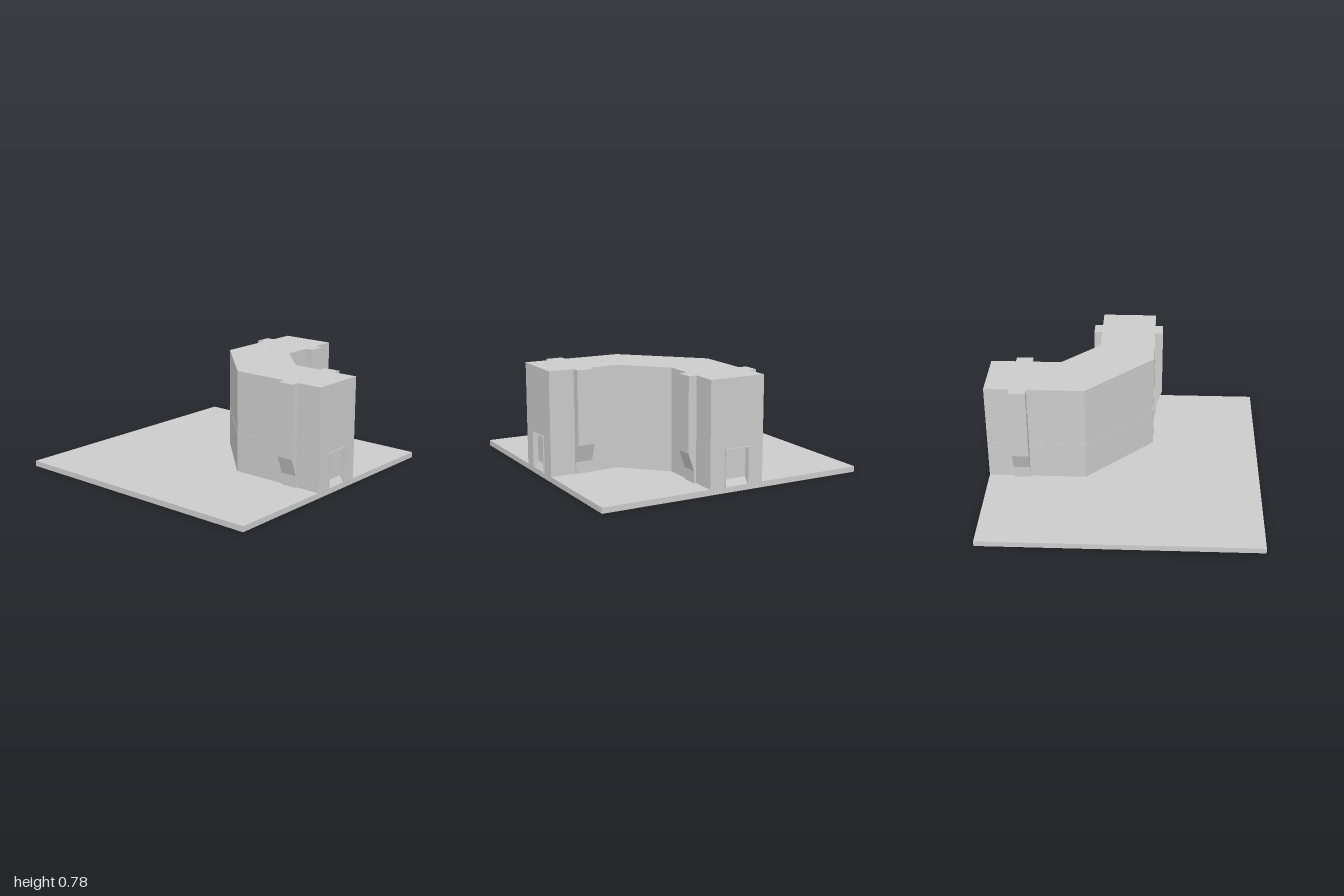
import * as THREE from 'three';

const BASE = 0.04, TOP = 0.775, HALF = 0.205, END = 0.99, RECESS = 0.03;
const material = new THREE.MeshStandardMaterial({ color: 0xcccccc, flatShading: true });

function add(parent, name, geometry, x = 0, y = 0, z = 0) {
  const mesh = new THREE.Mesh(geometry, material);
  mesh.name = name;
  mesh.position.set(x, y, z);
  parent.add(mesh);
  return mesh;
}

const shapeOf = (points) => new THREE.Shape(points.map(([x, y]) => new THREE.Vector2(x, y)));
const extrude = (points, depth) =>
  new THREE.ExtrudeGeometry(shapeOf(points), { depth, bevelEnabled: false });

// Extrudes an [out, y] profile, turned so that "out" is +x and it is centred along z
const sideProfile = (points, width) => extrude(points, width).translate(0, 0, -width / 2);

// Thin horizontal seam on a wall between two [x, z] points
function seam(parent, [x1, z1], [x2, z2]) {
  const length = Math.hypot(x2 - x1, z2 - z1);
  const mesh = add(parent, 'wallSeam', new THREE.BoxGeometry(length, 0.006, 0.004),
    (x1 + x2) / 2, 0.325, (z1 + z2) / 2);
  mesh.rotation.y = -Math.atan2(z2 - z1, x2 - x1);
}

// Buttress with a tapered foot; dots is a list of [z side, count]
function createButtress(dots) {
  const buttress = new THREE.Group();
  buttress.name = 'buttress';
  const profile = [[-0.01, BASE], [0.015, BASE], [0.015, 0.125], [0.06, 0.25], [0.06, TOP], [-0.01, TOP]];
  add(buttress, 'buttressBody', sideProfile(profile, 0.122));
  for (const [side, count] of dots) {
    for (let i = 0; i < count; i++) {
      const dot = add(buttress, 'buttressStud', new THREE.CylinderGeometry(0.009, 0.009, 0.004, 12),
        0.022, 0.66 - i * 0.028, side * 0.061);
      dot.rotation.x = Math.PI / 2;
    }
  }
  return buttress;
}

// End of one wing, running along +z
function createWing(name, leftDots, rightDots) {
  const wing = new THREE.Group();
  wing.name = name;
  const d = 0.0925, doorTop = 0.3;

  // End wall with a doorway
  add(wing, 'endWall', extrude([[-HALF, BASE], [-d, BASE], [-d, doorTop], [d, doorTop],
    [d, BASE], [HALF, BASE], [HALF, TOP], [-HALF, TOP]], RECESS), 0, 0, END - RECESS);

  // Thin door surround
  const w = 0.005;
  add(wing, 'doorFrame', extrude([[-d, BASE], [-d + w, BASE], [-d + w, doorTop - w],
    [d - w, doorTop - w], [d - w, BASE], [d, BASE], [d, doorTop], [-d, doorTop]], RECESS + 0.008),
  0, 0, END - RECESS);

  // Sloping door sill
  const sill = add(wing, 'doorSill',
    sideProfile([[0, BASE], [RECESS, BASE], [0, 0.085]], 2 * d), 0, 0, END - RECESS);
  sill.rotation.y = -Math.PI / 2;

  // Buttresses on both long sides
  const left = createButtress(leftDots);
  left.position.set(HALF, 0, 0.747);
  const right = createButtress(rightDots);
  right.position.set(-HALF, 0, 0.747);
  right.rotation.y = Math.PI;
  wing.add(left, right);
  return wing;
}

export function createModel() {
  const model = new THREE.Group();
  model.name = 'cornerBuilding';

  // Ground slab
  add(model, 'groundSlab', new THREE.BoxGeometry(1.99, BASE, 1.99), -0.005, BASE / 2, -0.005);

  // Bent main block, footprint in [x, z]
  const e = END - RECESS;
  const footprint = [[-0.21, e], [-0.21, 0.275], [0.275, -0.21], [e, -0.21],
    [e, 0.2], [0.475, 0.2], [0.2, 0.475], [0.2, e]];
  const block = extrude(footprint.map(([x, z]) => [x, -z]), TOP - BASE);
  add(model, 'mainBlock', block.rotateX(-Math.PI / 2), 0, BASE, 0);

  // Wing ends
  const front = createWing('frontWing', [[-1, 2]], [[1, 3]]);
  front.position.x = -0.005;
  const side = createWing('sideWing', [[1, 3], [-1, 3]], [[-1, 2], [1, 2]]);
  side.position.z = -0.005;
  side.rotation.y = Math.PI / 2;
  model.add(front, side);

  // Seams around the outer walls and along one inner wall
  for (let i = 0; i < 3; i++) seam(model, footprint[i], footprint[i + 1]);
  seam(model, [0.2, 0.49], [0.2, 0.95]);

  // Small roof marks
  add(model, 'roofMark', new THREE.BoxGeometry(0.035, 0.004, 0.01), -0.005, TOP, 0.495);
  for (const x of [0.495, 0.755]) {
    add(model, 'roofMark', new THREE.BoxGeometry(0.01, 0.004, 0.035), x, TOP, -0.005);
  }
  return model;
}
